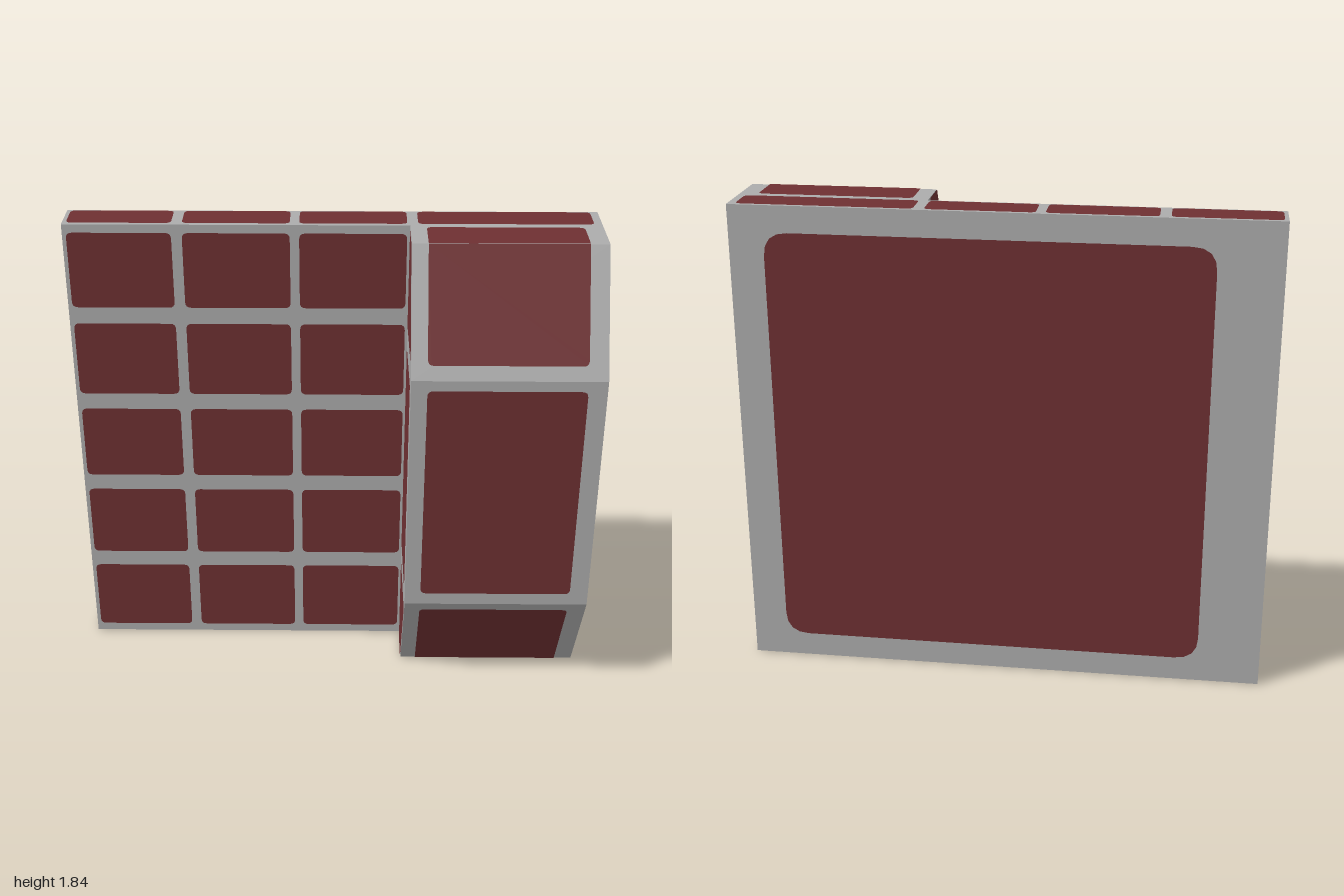
import * as THREE from 'three';

const stone = new THREE.MeshStandardMaterial({ color: 0xacacac });
stone.name = 'grey mortar';
const brick = new THREE.MeshStandardMaterial({ color: 0x6e3032 });
brick.name = 'dark red brick';

const H = 1.835, BACK = -0.28, FACE = -0.13, NOSE = 0.28, LIP = 0.05, INNER = 0.29;
const LOW = 0.43, HIGH = 1.4;
const LIFT = 0.002;
const V = (x, y, z) => new THREE.Vector3(x, y, z);

// Flat frame: local u and v axes, facing along u x v
function frame(origin, u, v) {
  u.normalize();
  v.normalize();
  const n = u.clone().cross(v);
  return new THREE.Matrix4().makeBasis(u, v, n).setPosition(origin.clone().addScaledVector(n, LIFT));
}

// Rectangle with rounded corners; rb and rt are the bottom and top radii
function rounded(u0, u1, v0, v1, rb = 0.022, rt = rb) {
  const s = new THREE.Shape();
  s.moveTo(u0 + rb, v0);
  s.lineTo(u1 - rb, v0);
  if (rb) s.quadraticCurveTo(u1, v0, u1, v0 + rb);
  s.lineTo(u1, v1 - rt);
  if (rt) s.quadraticCurveTo(u1, v1, u1 - rt, v1);
  s.lineTo(u0 + rt, v1);
  if (rt) s.quadraticCurveTo(u0, v1, u0, v1 - rt);
  s.lineTo(u0, v0 + rb);
  if (rb) s.quadraticCurveTo(u0, v0, u0 + rb, v0);
  return s;
}

const polygon = (pts) => new THREE.Shape(pts.map(([a, b]) => new THREE.Vector2(a, b)));

export function createModel() {
  const root = new THREE.Group();
  root.name = 'brickWall';

  const add = (name, geometry, material) => {
    const mesh = new THREE.Mesh(geometry, material);
    mesh.name = name;
    root.add(mesh);
  };
  const panel = (name, shape, matrix) =>
    add(name, new THREE.ShapeGeometry(shape, 4).applyMatrix4(matrix), brick);

  // Wall slab
  add('wallSlab', new THREE.BoxGeometry(2, H, FACE - BACK).translate(0, H / 2, (FACE + BACK) / 2), stone);

  // Buttress with sloped ends
  const profile = polygon([[FACE, 0], [LIP, 0], [NOSE, LOW], [NOSE, HIGH], [LIP, H], [FACE, H]]);
  const buttress = new THREE.ExtrudeGeometry(profile, { depth: 1 - INNER, bevelEnabled: false });
  buttress.applyMatrix4(new THREE.Matrix4().makeBasis(V(0, 0, 1), V(0, 1, 0), V(-1, 0, 0)).setPosition(1, 0, 0));
  add('buttress', buttress, stone);

  // Front bricks, five rows of three
  const columns = [[-0.985, -0.595], [-0.555, -0.155], [-0.12, 0.28]];
  const front = frame(V(0, 0, FACE), V(1, 0, 0), V(0, 1, 0));
  for (let row = 0; row < 5; row++) {
    const y = 0.035 + row * 0.367;
    for (const [a, b] of columns) panel('frontBrick', rounded(a, b, y, y + 0.3), front);
  }

  // Buttress front and its two slopes
  panel('buttressFrontBrick', rounded(0.35, 0.93, 0.48, 1.36), frame(V(0, 0, NOSE), V(1, 0, 0), V(0, 1, 0)));
  const upperLength = Math.hypot(H - HIGH, NOSE - LIP), lowerLength = Math.hypot(LOW, NOSE - LIP);
  panel('upperSlopeBrick', rounded(0.35, 0.93, 0.055, upperLength, 0.022, 0),
    frame(V(0, HIGH, NOSE), V(1, 0, 0), V(0, H - HIGH, LIP - NOSE)));
  panel('lowerSlopeBrick', rounded(0.35, 0.93, 0, lowerLength - 0.045, 0, 0.022),
    frame(V(0, 0, LIP), V(1, 0, 0), V(0, LOW, NOSE - LIP)));

  // Top and bottom bricks; s is the sign of v against z
  const ends = [['top', frame(V(0, H, 0), V(1, 0, 0), V(0, 0, -1)), -1],
    ['bottom', frame(V(0, 0, 0), V(1, 0, 0), V(0, 0, 1)), 1]];
  for (const [name, matrix, s] of ends) {
    const span = (a, b) => [Math.min(s * a, s * b), Math.max(s * a, s * b)];
    for (const [a, b] of [...columns, [0.32, 0.97]])
      panel(name + 'Brick', rounded(a, b, ...span(-0.272, -0.143)), matrix);
    panel(name + 'ButtressBrick',
      rounded(0.35, 0.93, ...span(-0.11, LIP), s < 0 ? 0 : 0.022, s < 0 ? 0.022 : 0), matrix);
  }

  // Both sides of the buttress; s is the sign of u against z
  const outer = frame(V(1, 0, 0), V(0, 0, -1), V(0, 1, 0));
  const inner = frame(V(INNER, 0, 0), V(0, 0, 1), V(0, 1, 0));
  for (const [name, matrix, s] of [['outer', outer, -1], ['inner', inner, 1]]) {
    const side = (pts) => polygon(pts.map(([z, y]) => [s * z, y]));
    panel(name + 'MiddleBrick', rounded(...(s < 0 ? [-0.24, 0.09] : [-0.09, 0.24]), 0.475, 1.36), matrix);
    panel(name + 'LowerBrick',
      side([[-0.09, 0], [LIP, 0], [0.24, 0.355], [0.24, 0.375], [0.225, 0.39], [-0.075, 0.39], [-0.09, 0.375]]), matrix);
    panel(name + 'UpperBrick',
      side([[-0.09, H], [LIP, H], [0.24, 1.476], [0.24, 1.465], [0.225, 1.45], [-0.075, 1.45], [-0.09, 1.465]]), matrix);
  }

  // Slab edge beside the buttress
  for (const y of [0.03, 0.642, 1.255]) panel('rightEdgeBrick', rounded(0.14, 0.272, y, y + 0.555), outer);

  // Opposite slab edge
  const edge = frame(V(-1, 0, 0), V(0, 0, 1), V(0, 1, 0));
  for (let row = 0; row < 5; row++) {
    const y = 0.075 + row * 0.365;
    panel('leftEdgeBrick', rounded(BACK, -0.15, y, y + 0.295), edge);
  }
  panel('leftEdgeSliver', rounded(BACK + 0.01, -0.16, 0, 0.02, 0, 0), edge);

  // Large back panel
  panel('backPanel', rounded(-0.87, 0.762, 0.095, 1.735, 0.09), frame(V(0, 0, BACK), V(-1, 0, 0), V(0, 1, 0)));

  return root;
}
